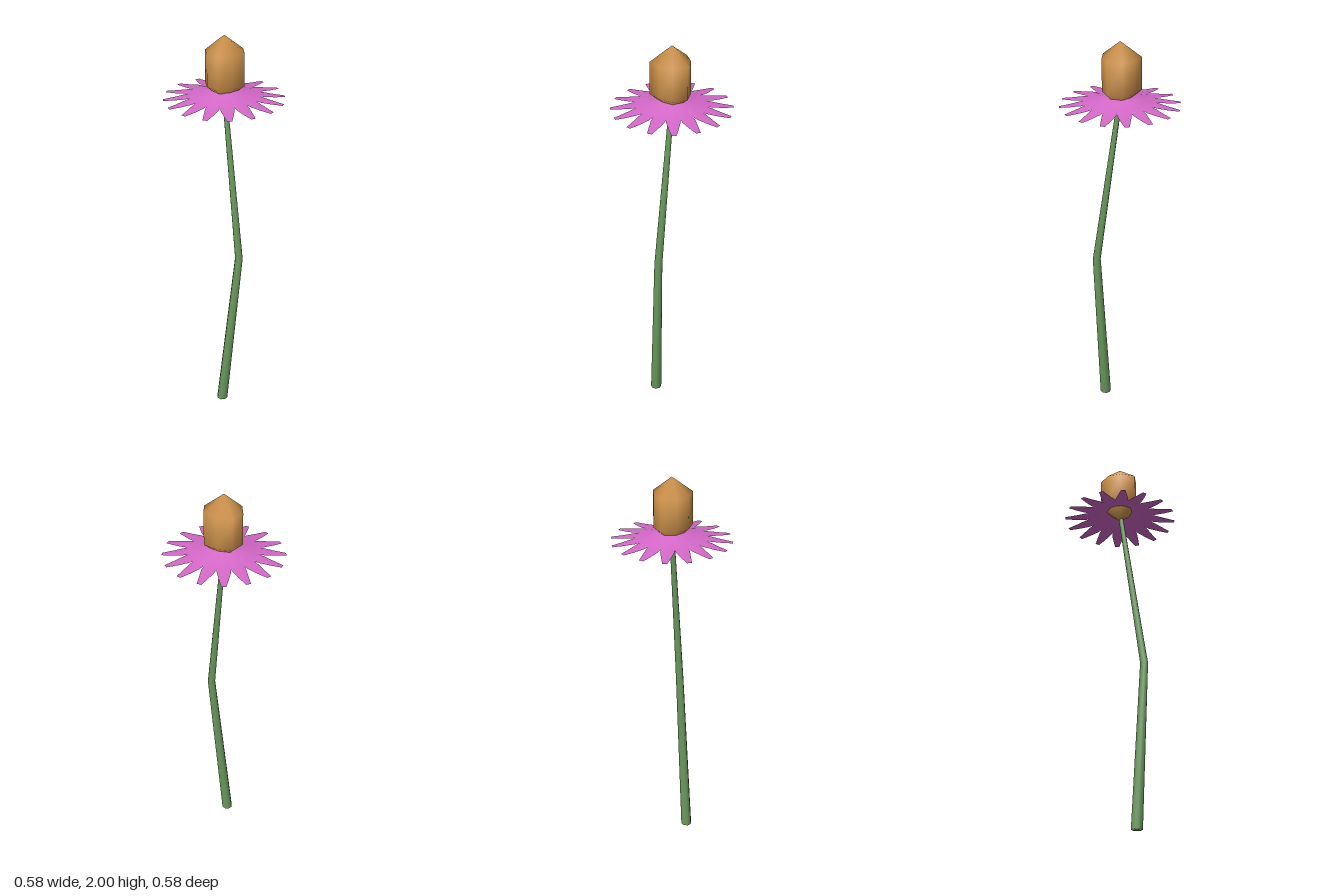
import * as THREE from 'three';

// Skins a stack of rings, closed by a pole point at each end, with smooth normals
function loft(rings, bottom, top) {
  const n = rings[0].length;
  const pos = [...rings.flat(), bottom, top].flat();
  const b = rings.length * n, t = b + 1, last = b - n;
  const index = [];
  for (let i = 0; i < n; i++) {
    const j = (i + 1) % n;
    index.push(b, i, j, t, last + j, last + i);
    for (let k = 0; k < rings.length - 1; k++) {
      const lo = k * n, hi = lo + n;
      index.push(lo + i, hi + i, lo + j, lo + j, hi + i, hi + j);
    }
  }
  return surface(pos, index);
}

function surface(pos, index) {
  const g = new THREE.BufferGeometry();
  g.setAttribute('position', new THREE.Float32BufferAttribute(pos, 3));
  g.setIndex(index);
  g.computeVertexNormals();
  return g;
}

// Horizontal ring; one radius per corner
function ring([x, y, z], radii) {
  return radii.map((r, i) => {
    const a = (i / radii.length) * Math.PI * 2;
    return [x + r * Math.cos(a), y, z + r * Math.sin(a)];
  });
}

// One petal along +z: rows of [distance, height, half width], slightly ridged
function petalGeometry() {
  const rows = [
    [0.04, 1.746, 0.010], [0.10, 1.725, 0.026], [0.15, 1.712, 0.034],
    [0.19, 1.704, 0.032], [0.24, 1.696, 0.022], [0.29, 1.690, 0.011],
  ];
  const pos = [], index = [];
  rows.forEach(([d, y, w], k) => {
    pos.push(-w, y - w * 0.1, d, 0, y, d, w, y - w * 0.1, d);
    if (k === 0) return;
    for (let c = 0; c < 2; c++) {
      const a = (k - 1) * 3 + c, b = a + 3;
      index.push(a, b, a + 1, a + 1, b, b + 1);
    }
  });
  return surface(pos, index);
}

export function createModel() {
  const group = new THREE.Group();
  const add = (geometry, material, name, parent = group) => {
    const mesh = new THREE.Mesh(geometry, material);
    mesh.name = name;
    parent.add(mesh);
    return mesh;
  };
  const green = new THREE.MeshStandardMaterial({ color: 0x6a9a5c });
  const gold = new THREE.MeshStandardMaterial({ color: 0xd2954c });
  const pink = new THREE.MeshStandardMaterial({ color: 0xd468c8, side: THREE.DoubleSide });

  // Bent, tapering stem
  const stemPoints = [[-0.05, 0, 0.075], [0.02, 0.87, 0.122], [0, 1.73, 0]];
  const stemRadii = [0.028, 0.02, 0.012];
  const stemRings = stemPoints.map((p, i) => ring(p, Array(8).fill(stemRadii[i])));
  add(loft(stemRings, stemPoints[0], stemPoints[2]), green, 'stem');

  // Uneven eight-sided seed head
  const headRadii = [0.1, 0.099, 0.087, 0.104, 0.09, 0.094, 0.103, 0.088];
  const headRings = [1.76, 1.92].map((y) => ring([0, y, 0], headRadii));
  add(loft(headRings, [0, 1.68, 0], [0, 2, 0]), gold, 'seedHead');

  // Drooping petals
  const petals = new THREE.Group();
  petals.name = 'petals';
  group.add(petals);
  const petal = petalGeometry();
  const count = 16;
  for (let i = 0; i < count; i++) {
    add(petal, pink, 'petal', petals).rotation.y = (i / count) * Math.PI * 2;
  }
  return group;
}
